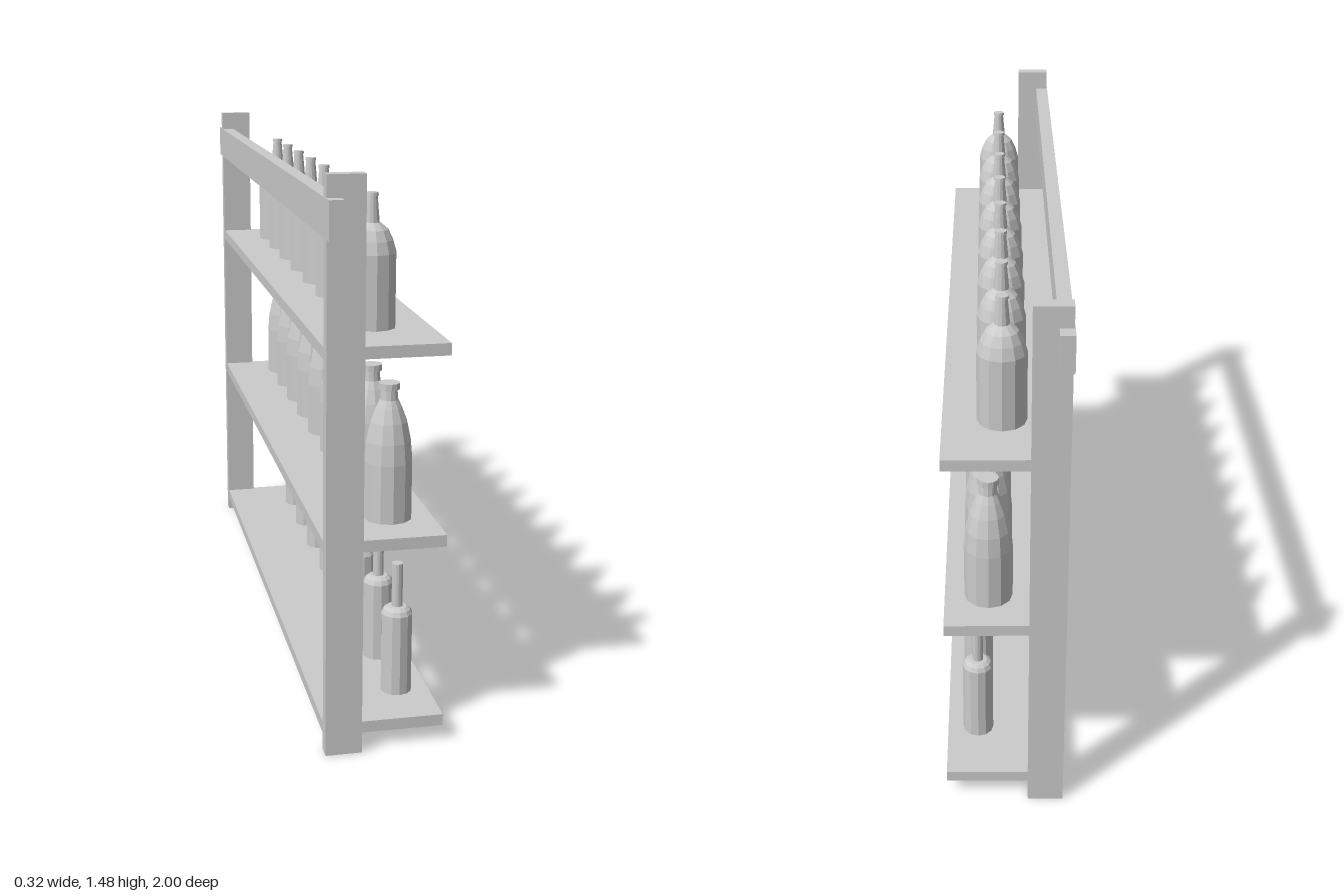
import * as THREE from 'three';

const material = new THREE.MeshStandardMaterial({ color: 0xcccccc, flatShading: true });

// Box given by its minimum and maximum corners
function box(name, [x0, y0, z0], [x1, y1, z1]) {
  const mesh = new THREE.Mesh(new THREE.BoxGeometry(x1 - x0, y1 - y0, z1 - z0), material);
  mesh.position.set((x0 + x1) / 2, (y0 + y1) / 2, (z0 + z1) / 2);
  mesh.name = name;
  return mesh;
}

// Evenly spaced row of identical faceted bottles
function bottleRow(name, profile, count, x, y, zFirst, zLast) {
  const row = new THREE.Group();
  row.name = name;
  const geometry = new THREE.LatheGeometry(profile.map(([r, h]) => new THREE.Vector2(r, h)), 12);
  for (let i = 0; i < count; i++) {
    const bottle = new THREE.Mesh(geometry, material);
    bottle.name = 'bottle';
    bottle.position.set(x, y, THREE.MathUtils.lerp(zFirst, zLast, i / (count - 1)));
    row.add(bottle);
  }
  return row;
}

export function createModel() {
  const group = new THREE.Group();
  group.name = 'bottleShelf';

  // Upright posts and the rail across their backs
  group.add(box('leftPost', [-0.158, 0, 0.925], [-0.063, 1.483, 0.963]));
  group.add(box('rightPost', [-0.158, 0, -0.963], [-0.063, 1.483, -0.925]));
  group.add(box('topRail', [-0.16, 1.332, -1], [-0.123, 1.428, 1]));

  // Shelves
  const tops = [0.073, 0.569, 1.065];
  for (const top of tops) {
    group.add(box('shelf', [-0.157, top - 0.031, -0.937], [0.158, top, 0.937]));
  }

  // Slim bottles with a long straight neck
  const slim = [[0, 0], [0.042, 0], [0.042, 0.222], [0.036, 0.234], [0.026, 0.241],
    [0.015, 0.242], [0.015, 0.362], [0, 0.362]];
  // Tall bottles with sloping shoulders and a lip
  const sloped = [[0, 0], [0.064, 0], [0.064, 0.155], [0.059, 0.21], [0.048, 0.26],
    [0.034, 0.297], [0.024, 0.318], [0.022, 0.345], [0.028, 0.345], [0.028, 0.362], [0, 0.362]];
  // Stout bottles with round shoulders and a tapered neck
  const stout = [[0, 0], [0.064, 0], [0.064, 0.192], [0.055, 0.224], [0.042, 0.25],
    [0.024, 0.265], [0.02, 0.268], [0.014, 0.335], [0.017, 0.335], [0.016, 0.343], [0, 0.343]];

  group.add(bottleRow('slimBottles', slim, 8, 0.073, tops[0], 0.771, -0.75));
  group.add(bottleRow('slopedBottles', sloped, 9, 0.042, tops[1], 0.777, -0.797));
  group.add(bottleRow('stoutBottles', stout, 8, 0.006, tops[2], 0.72, -0.734));

  return group;
}
